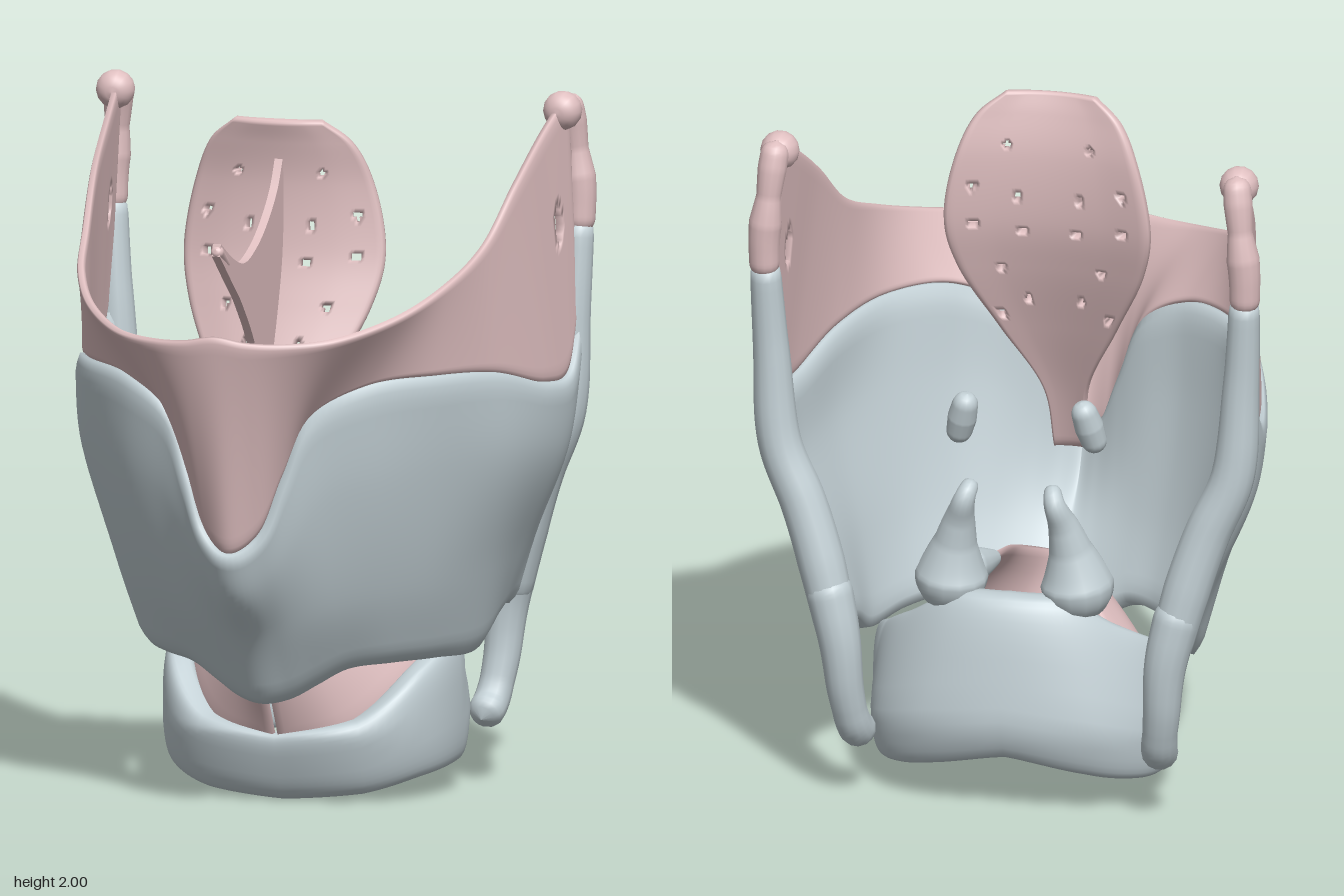
import * as THREE from 'three';
import { mergeVertices } from 'three/addons/utils/BufferGeometryUtils.js';

const cartilage = new THREE.MeshStandardMaterial({ color: 0xc3d0d5 });
cartilage.name = 'cartilageGrey';
const membrane = new THREE.MeshStandardMaterial({ color: 0xe0c0c1 });
membrane.name = 'membranePink';

const V = (p) => new THREE.Vector3(...p);
const spline = (pts) => new THREE.CatmullRomCurve3(pts);
const flip = ([x, y, z]) => [-x, y, z];

function geometry(pos, idx) {
  const g = new THREE.BufferGeometry();
  g.setAttribute('position', new THREE.Float32BufferAttribute(pos, 3));
  g.setIndex(idx);
  g.computeVertexNormals();
  return g;
}

// Thick curved sheet lofted through columns of points; keep() punches openings
function shell(cols, nu, nv, thick, keep = () => true) {
  const curves = cols.map((c) => spline(c.map(V)));
  const grid = [];
  for (let j = 0; j <= nv; j++) {
    const row = spline(curves.map((c) => c.getPoint(j / nv)));
    for (let i = 0; i <= nu; i++) grid.push(row.getPoint(i / nu));
  }
  const at = (i, j) => j * (nu + 1) + i;
  const P = (i, j) => grid[at(THREE.MathUtils.clamp(i, 0, nu), THREE.MathUtils.clamp(j, 0, nv))];
  const top = [], bottom = [], idx = [];
  for (let j = 0; j <= nv; j++) for (let i = 0; i <= nu; i++) {
    const n = P(i + 1, j).clone().sub(P(i - 1, j)).cross(P(i, j + 1).clone().sub(P(i, j - 1))).normalize();
    const edge = Math.min(i, nu - i, j, nv - j);
    n.multiplyScalar(thick / 2 * ([0.55, 0.85][edge] ?? 1));
    top.push(...P(i, j).clone().add(n).toArray());
    bottom.push(...P(i, j).clone().sub(n).toArray());
  }
  const N = grid.length;
  const solid = (i, j) => i >= 0 && j >= 0 && i < nu && j < nv &&
    keep(P(i, j).clone().add(P(i + 1, j + 1)).multiplyScalar(0.5));
  for (let j = 0; j < nv; j++) for (let i = 0; i < nu; i++) {
    if (!solid(i, j)) continue;
    const q = [at(i, j), at(i + 1, j), at(i + 1, j + 1), at(i, j + 1)];
    const [a, b, c, d] = q;
    idx.push(a, b, c, a, c, d, a + N, c + N, b + N, a + N, d + N, c + N);
    [[i, j - 1], [i + 1, j], [i, j + 1], [i - 1, j]].forEach((nb, k) => {
      if (solid(...nb)) return;
      const s = q[k], e = q[(k + 1) % 4];
      idx.push(e, s, s + N, e, s + N, e + N);
    });
  }
  return geometry([...top, ...bottom], idx);
}

// Round-ended tube with a changing radius
function limb(pts, radii, seg = 40, sides = 14) {
  const curve = spline(pts.map(V));
  const L = curve.getLength();
  let g = new THREE.TubeGeometry(curve, seg, 1, sides);
  const pos = g.attributes.position;
  const v = new THREE.Vector3();
  for (let i = 0; i <= seg; i++) {
    const c = curve.getPointAt(i / seg);
    const f = i / seg * (radii.length - 1), k = Math.min(Math.floor(f), radii.length - 2);
    const r = THREE.MathUtils.lerp(radii[k], radii[k + 1], f - k);
    const d = Math.min(i, seg - i) / seg * L / r;
    const s = r * (d < 1 ? Math.sqrt(1 - (1 - d) ** 2) : 1) + 1e-4;
    for (let m = 0; m <= sides; m++) {
      const n = i * (sides + 1) + m;
      v.fromBufferAttribute(pos, n).sub(c).multiplyScalar(s).add(c);
      pos.setXYZ(n, v.x, v.y, v.z);
    }
  }
  g.deleteAttribute('uv');
  g.deleteAttribute('normal');
  g = mergeVertices(g, 1e-5);
  g.computeVertexNormals();
  return g;
}

// Ring cartilage: low arch in front, tall plate behind that narrows and leans forward at its top
function ringGeometry(na = 96, nb = 36) {
  const size = spline([[0, .2, .05], [.02, .24, .052], [.06, .37, .05], [.08, .47, .05],
    [.09, .55, .052], [.12, .64, .06], [.17, .65, .065]].map(V)); // bottom, top, half thickness
  const pow = (x, e) => Math.sign(x) * Math.abs(x) ** e;
  const pos = [], idx = [];
  for (let i = 0; i < na; i++) {
    const a = (i / na * 2 - 1) * Math.PI;
    const s = size.getPoint(Math.abs(a) / Math.PI);
    const front = Math.max(0, Math.cos(a)), back = Math.max(0, -Math.cos(a));
    for (let j = 0; j < nb; j++) {
      const b = j / nb * 2 * Math.PI;
      const dr = s.z * pow(Math.cos(b), .55);
      const y = (s.x + s.y) / 2 + (s.y - s.x) / 2 * pow(Math.sin(b), .7);
      const rise = THREE.MathUtils.clamp((y - .25) / .4, 0, 1) * Math.sqrt(back);
      const lean = -.4 * Math.max(0, .2 - y) * front + .2 * Math.max(0, .3 - y) * back + .06 * rise;
      const depth = front > 0 ? .385 : .245;
      pos.push((.388 + dr) * pow(Math.sin(a), .85) * (1 - .33 * rise), y,
        -.32 + (depth + dr) * pow(Math.cos(a), .9) + lean);
      const i2 = (i + 1) % na, j2 = (j + 1) % nb;
      const A = i * nb + j, B = i2 * nb + j, C = i2 * nb + j2, D = i * nb + j2;
      idx.push(A, B, C, A, C, D);
    }
  }
  return geometry(pos, idx);
}

// Shield columns, midline to back, each from lower to upper edge
const shield = [
  [[0, .31, .18], [0, .52, .31], [0, .66, .45], [0, .78, .51]],
  [[.07, .325, .16], [.07, .54, .30], [.07, .70, .42], [.07, .83, .48]],
  [[.14, .365, .14], [.14, .58, .285], [.14, .79, .39], [.13, .99, .45]],
  [[.22, .41, .11], [.22, .62, .25], [.22, .92, .36], [.20, 1.165, .415]],
  [[.32, .42, .03], [.34, .65, .16], [.36, .97, .27], [.35, 1.255, .335]],
  [[.41, .42, -.10], [.45, .66, .02], [.51, 1.0, .10], [.51, 1.27, .18]],
  [[.47, .42, -.27], [.53, .68, -.18], [.61, 1.0, -.10], [.61, 1.25, -.05]],
  [[.48, .49, -.40], [.55, .70, -.37], [.655, .98, -.32], [.68, 1.19, -.30]],
  [[.48, .52, -.50], [.555, .72, -.48], [.665, .98, -.45], [.70, 1.20, -.43]],
  [[.48, .50, -.60], [.55, .75, -.57], [.655, 1.03, -.54], [.70, 1.37, -.53]],
];
const veilTop = [[0, 1.42, .65], [.09, 1.405, .64], [.19, 1.40, .61], [.32, 1.41, .54], [.46, 1.46, .38],
  [.545, 1.53, .20], [.595, 1.62, .0], [.628, 1.77, -.18], [.65, 1.90, -.38], [.67, 1.985, -.54]];
const bothSides = (cols) => [...cols.slice(1).reverse().map((c) => c.map(flip)), ...cols];

export function createModel() {
  const model = new THREE.Group();
  const add = (name, geo, mat, parent = model) => {
    const m = new THREE.Mesh(geo, mat);
    m.name = name;
    parent.add(m);
    return m;
  };

  add('shieldCartilage', shell(bothSides(shield), 126, 28, .065), cartilage);
  add('ringCartilage', ringGeometry(), cartilage);

  // Upper membrane with a small oval opening on each side
  const veil = shield.map((c, k) => {
    const a = c[3], b = veilTop[k];
    return [a, a.map((n, i) => (n + b[i]) / 2), b];
  });
  add('upperMembrane', shell(bothSides(veil), 216, 40, .024,
    (p) => ((p.z + .42) / .026) ** 2 + ((p.y - 1.62) / .06) ** 2 > 1), membrane);

  // Leaf-shaped flap with small perforations
  const leaf = [[.05, .80, .32], [.065, 1.0, .25], [.17, 1.22, .16], [.27, 1.43, .08],
    [.3, 1.58, .04], [.265, 1.78, .03], [.21, 1.9, .05], [.13, 1.965, .07]];
  const pits = [[.12, 1.81], [.22, 1.69], [.09, 1.66], [.22, 1.57], [.08, 1.55], [.15, 1.43], [.08, 1.32], [.16, 1.27]];
  const leafCols = [-1, -.5, 0, .5, 1].map((f) => leaf.map(([w, y, z]) => [f * w, y, z - .05 * f * f * w / .3]));
  add('leafFlap', shell(leafCols, 64, 110, .03,
    (p) => pits.every(([x, y]) => Math.hypot(Math.abs(p.x) - x, p.y - y) > .0125)), membrane);

  // Median blade reaching forward from the flap
  const s = new THREE.Shape();
  const through = (pts) => s.splineThru(pts.map((p) => new THREE.Vector2(...p)));
  s.moveTo(.04, 1.88);
  through([[.10, 1.77], [.2, 1.68], [.3, 1.625], [.4, 1.6], [.5, 1.625], [.62, 1.685]]);
  s.lineTo(.63, 1.65);
  through([[.53, 1.57], [.42, 1.48], [.3, 1.34], [.25, 1.18], [.24, 1.08]]);
  s.lineTo(.16, 1.22);
  s.lineTo(.05, 1.5);
  const blade = new THREE.ExtrudeGeometry(s, { depth: .024, bevelEnabled: false, curveSegments: 24 });
  blade.rotateY(-Math.PI / 2).translate(.012, 0, 0);
  add('medianBlade', blade, membrane);
  add('bladeTip', limb([[0, 1.61, .53], [0, 1.67, .63]], [.012, .02]), membrane);

  // Paired parts
  for (const side of [1, -1]) {
    const pair = new THREE.Group();
    pair.name = side > 0 ? 'leftParts' : 'rightParts';
    model.add(pair);
    const m = (pts) => (side > 0 ? pts : pts.map(flip));
    const put = (name, pts, radii, mat) => add(name, limb(m(pts), radii), mat, pair);

    put('backRim', [[.475, .5, -.595], [.54, .75, -.57], [.59, .9, -.555], [.66, 1.07, -.545], [.685, 1.35, -.545], [.70, 1.63, -.565]],
      [.06, .068, .066, .06, .05, .043], cartilage);
    put('upperHornLigament', [[.70, 1.58, -.565], [.70, 1.7, -.57], [.69, 1.8, -.57], [.68, 1.9, -.56], [.67, 1.985, -.54]],
      [.043, .045, .048, .036, .042, .04], membrane);
    put('ligamentEnd', [[.665, 1.935, -.45], [.675, 1.95, -.56]], [.062, .05], membrane);
    put('lowerHorn', [[.52, .70, -.58], [.475, .5, -.595], [.46, .34, -.58], [.445, .23, -.54], [.435, .18, -.47]],
      [.07, .064, .056, .05, .055], cartilage);

    // Small pyramid cartilage with its two processes
    put('pyramidBody', [[.19, .56, -.43], [.18, .70, -.44], [.155, .84, -.47], [.13, .93, -.50], [.115, .97, -.46]],
      [.1, .105, .062, .038, .022], cartilage);
    put('pyramidFrontProcess', [[.16, .68, -.42], [.12, .67, -.33], [.09, .66, -.25]], [.07, .045, .018], cartilage);
    put('pyramidSideProcess', [[.17, .7, -.45], [.25, .64, -.48]], [.07, .05], cartilage);
    put('smallNodule', [[.165, 1.17, -.31], [.205, 1.01, -.265]], [.034, .042, .034], cartilage);

    // Vocal fold membrane between ring and pyramid
    const low = [[.005, .16, .06], [.18, .19, .01], [.30, .30, -.11], [.34, .42, -.27], [.26, .52, -.40]];
    const high = [[.01, .50, .25], [.05, .55, .13], [.08, .60, 0], [.085, .64, -.12], [.09, .67, -.25]];
    const fold = low.map((a, k) => {
      const b = high[k];
      return m([a, [a[0] * .55 + b[0] * .45, (a[1] + b[1]) / 2, (a[2] + b[2]) / 2], b]);
    });
    add('vocalFold', shell(fold, 32, 16, .025), membrane, pair);
  }
  return model;
}
